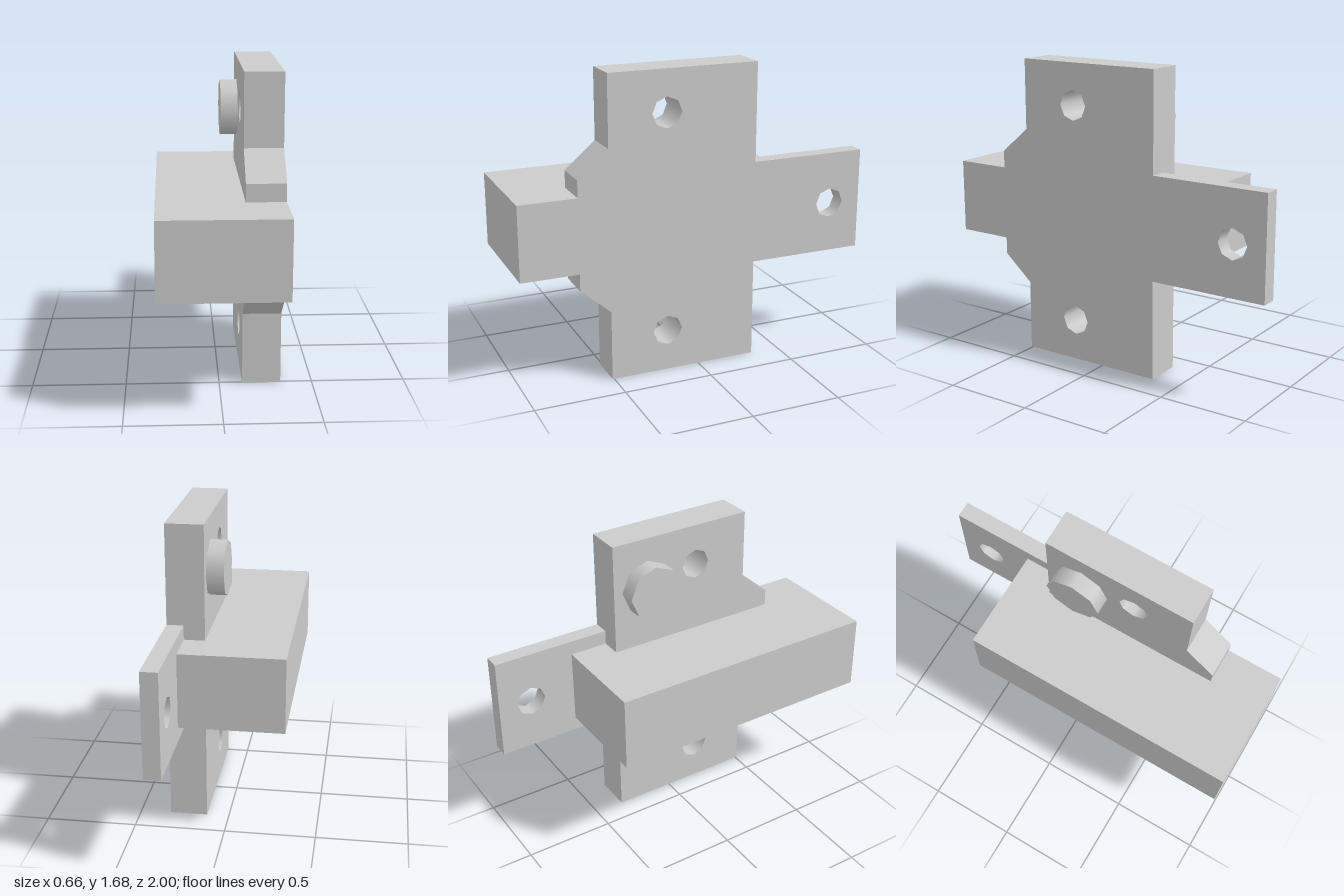
import * as THREE from 'three';

const HOLE_R = 0.084;
const material = new THREE.MeshStandardMaterial({ color: 0xcccccc });

function addMesh(group, name, geometry) {
  const mesh = new THREE.Mesh(geometry, material);
  mesh.name = name;
  group.add(mesh);
  return mesh;
}

// Upright slab from a [z, y] outline, running from x0 to x1, with eight-sided holes
function slab(outline, holes, x0, x1) {
  const shape = new THREE.Shape(outline.map(([z, y]) => new THREE.Vector2(-z, y)));
  for (const [z, y] of holes) {
    const ring = [];
    for (let i = 0; i < 8; i++) {
      const a = -i * Math.PI / 4;
      ring.push(new THREE.Vector2(-z + HOLE_R * Math.cos(a), y + HOLE_R * Math.sin(a)));
    }
    shape.holes.push(new THREE.Path(ring));
  }
  const geo = new THREE.ExtrudeGeometry(shape, { depth: x1 - x0, bevelEnabled: false });

  // Smooth the hole walls: normals point at the hole axis
  const pos = geo.attributes.position, nor = geo.attributes.normal;
  for (let i = 0; i < pos.count; i++) {
    if (Math.abs(nor.getZ(i)) > 0.5) continue;
    for (const [z, y] of holes) {
      const dx = -z - pos.getX(i), dy = y - pos.getY(i), d = Math.hypot(dx, dy);
      if (d < HOLE_R * 1.05) nor.setXYZ(i, dx / d, dy / d, 0);
    }
  }
  return geo.rotateY(Math.PI / 2).translate(x0, 0, 0);
}

export function createModel() {
  const group = new THREE.Group();
  group.name = 'bracket';

  // Tall mounting plate with chamfered shoulders at the front
  addMesh(group, 'mountingPlate', slab(
    [[0.51, 0], [-0.335, 0], [-0.335, 1.68], [0.51, 1.68],
      [0.51, 1.29], [0.68, 1.145], [0.68, 0.54], [0.51, 0.395]],
    [[0.183, 1.45], [0.183, 0.233]], 0.124, 0.33));

  // Thin rear tab
  addMesh(group, 'rearTab', slab(
    [[-0.335, 0.555], [-1, 0.555], [-1, 1.13], [-0.335, 1.13]],
    [[-0.81, 0.84]], 0.238, 0.33));

  // Long block, notched around the plate and the tab: outline in [x, z]
  const blockOutline = [[-0.33, 1], [0.33, 1], [0.33, 0.68], [0.124, 0.68],
    [0.124, -0.335], [0.238, -0.335], [0.238, -0.55], [-0.33, -0.55]];
  const blockShape = new THREE.Shape(blockOutline.map(([x, z]) => new THREE.Vector2(x, -z)));
  addMesh(group, 'block',
    new THREE.ExtrudeGeometry(blockShape, { depth: 0.415, bevelEnabled: false })
      .rotateX(-Math.PI / 2).translate(0, 0.635, 0));

  // Eight-sided knob on the inner face of the plate
  const knob = addMesh(group, 'knob',
    new THREE.CylinderGeometry(0.155, 0.155, 0.094, 8).rotateZ(Math.PI / 2));
  knob.position.set(0.077, 1.395, -0.128);

  return group;
}
